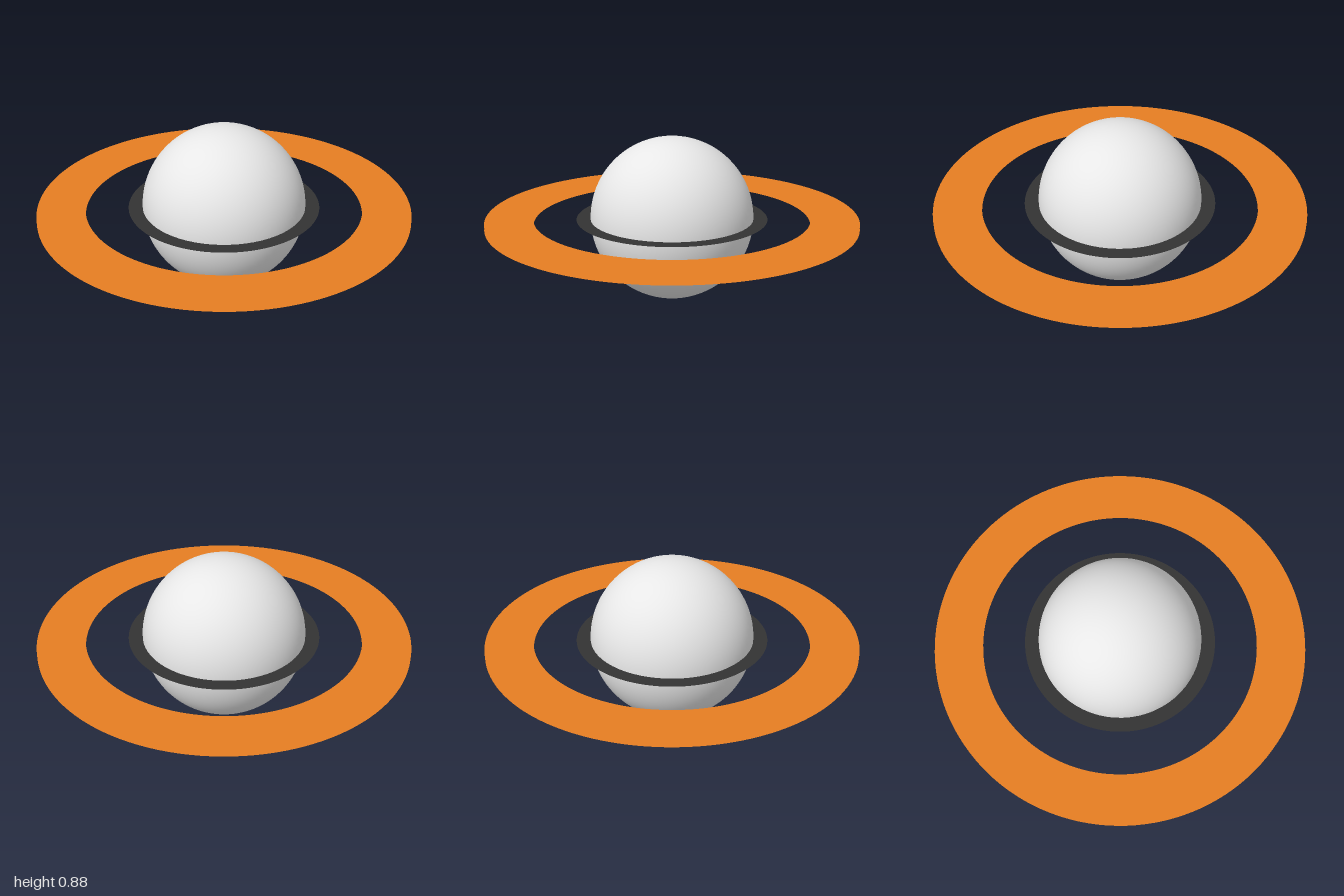
import * as THREE from 'three';

const RADIUS = 0.44;

export function createModel() {
  const model = new THREE.Group();
  model.name = 'ringedPlanet';

  const paleGrey = new THREE.MeshStandardMaterial({ color: 0xf2f2f2 });
  paleGrey.name = 'paleGrey';
  const orange = new THREE.MeshStandardMaterial({ color: 0xe67e22, side: THREE.DoubleSide });
  orange.name = 'orange';
  const charcoal = new THREE.MeshStandardMaterial({ color: 0x333333, side: THREE.DoubleSide });
  charcoal.name = 'charcoal';

  // Planet body
  const planet = new THREE.Mesh(new THREE.SphereGeometry(RADIUS, 64, 48), paleGrey);
  planet.name = 'planet';
  planet.position.y = RADIUS;
  model.add(planet);

  // Flat ring lying level around the planet
  function addRing(name, inner, outer, offset, material) {
    const geometry = new THREE.RingGeometry(inner, outer, 128).rotateX(-Math.PI / 2);
    const ring = new THREE.Mesh(geometry, material);
    ring.name = name;
    ring.position.y = RADIUS + offset;
    model.add(ring);
  }

  // Narrow dark ring at the equator
  addRing('innerRing', 0.435, 0.515, 0, charcoal);

  // Two wide sheets, one just above the other
  addRing('outerRingUpper', 0.743, 1, 0.014, orange);
  addRing('outerRingLower', 0.743, 1, -0.014, orange);

  return model;
}
